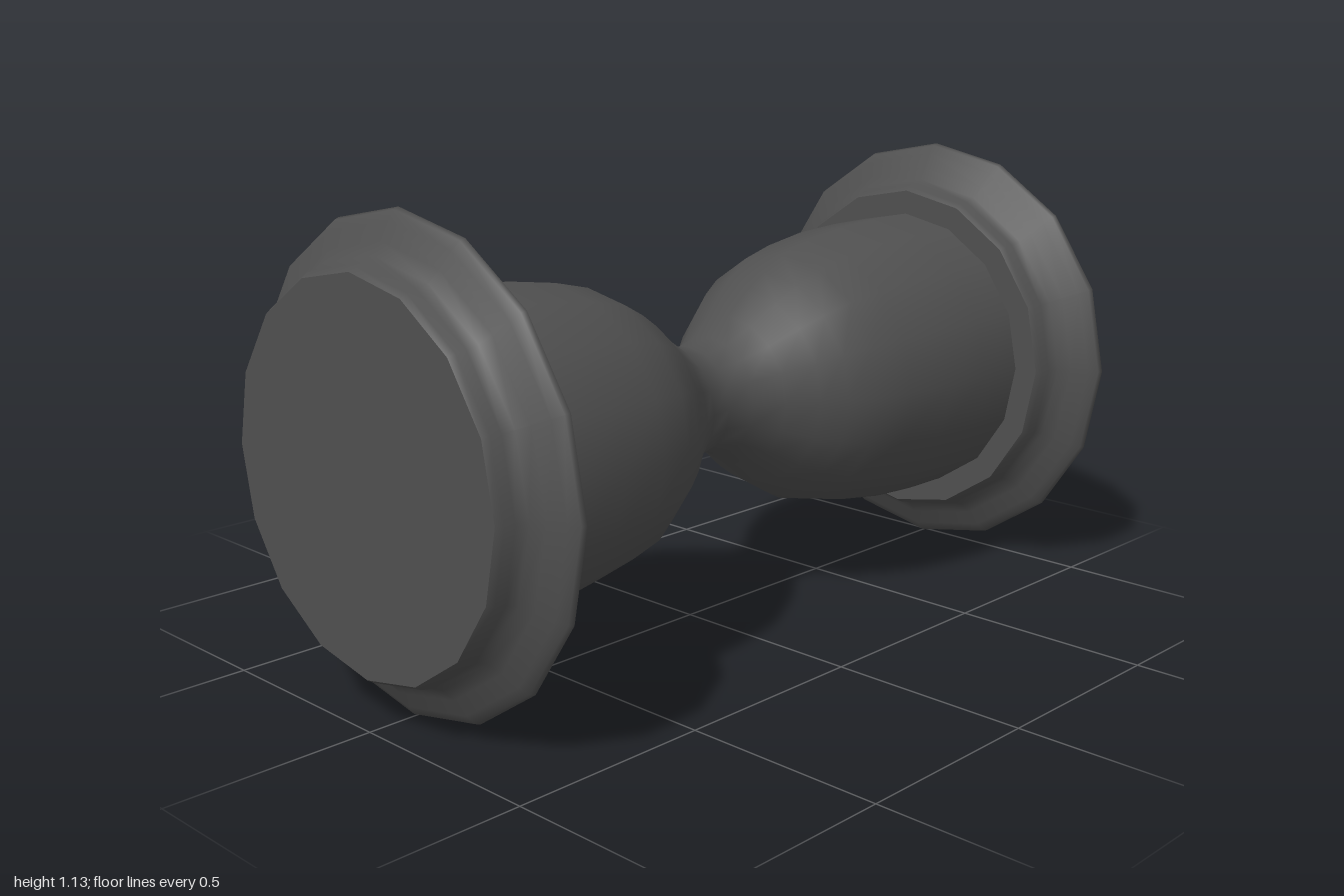
import * as THREE from 'three';

const SIDES = 16;
const AXIS_HEIGHT = 0.57;

export function createModel() {
  const group = new THREE.Group();
  const material = new THREE.MeshStandardMaterial({ color: 0x505050 });

  // Turned part lying along z; profile is [radius, z], a repeated point makes a crease
  function turned(name, profile) {
    const points = profile.map(([r, z]) => new THREE.Vector2(r, z));
    const geometry = new THREE.LatheGeometry(points, SIDES);
    geometry.rotateX(Math.PI / 2);
    const mesh = new THREE.Mesh(geometry, material);
    mesh.name = name;
    mesh.position.y = AXIS_HEIGHT;
    group.add(mesh);
    return mesh;
  }

  // Moulded end caps, both with the wide flange towards the back
  const cap = [
    [0, 0], [0.555, 0], [0.555, 0], [0.567, 0.008], [0.562, 0.02], [0.54, 0.036],
    [0.5, 0.056], [0.472, 0.076], [0.46, 0.1], [0.456, 0.125], [0.446, 0.14],
    [0.446, 0.14], [0, 0.14],
  ];
  turned('frontCap', cap).position.z = 0.86;
  turned('backCap', cap).position.z = -1;

  // Two bulbs joined by a narrow waist
  const half = [
    [0.15, 0.07], [0.195, 0.14], [0.25, 0.21], [0.29, 0.27], [0.328, 0.34],
    [0.352, 0.44], [0.373, 0.58], [0.381, 0.72], [0.382, 0.87],
  ];
  const mirrored = half.map(([r, z]) => [r, -z]).reverse();
  turned('glassBulbs', [...mirrored, [0.134, 0], ...half]);

  return group;
}
